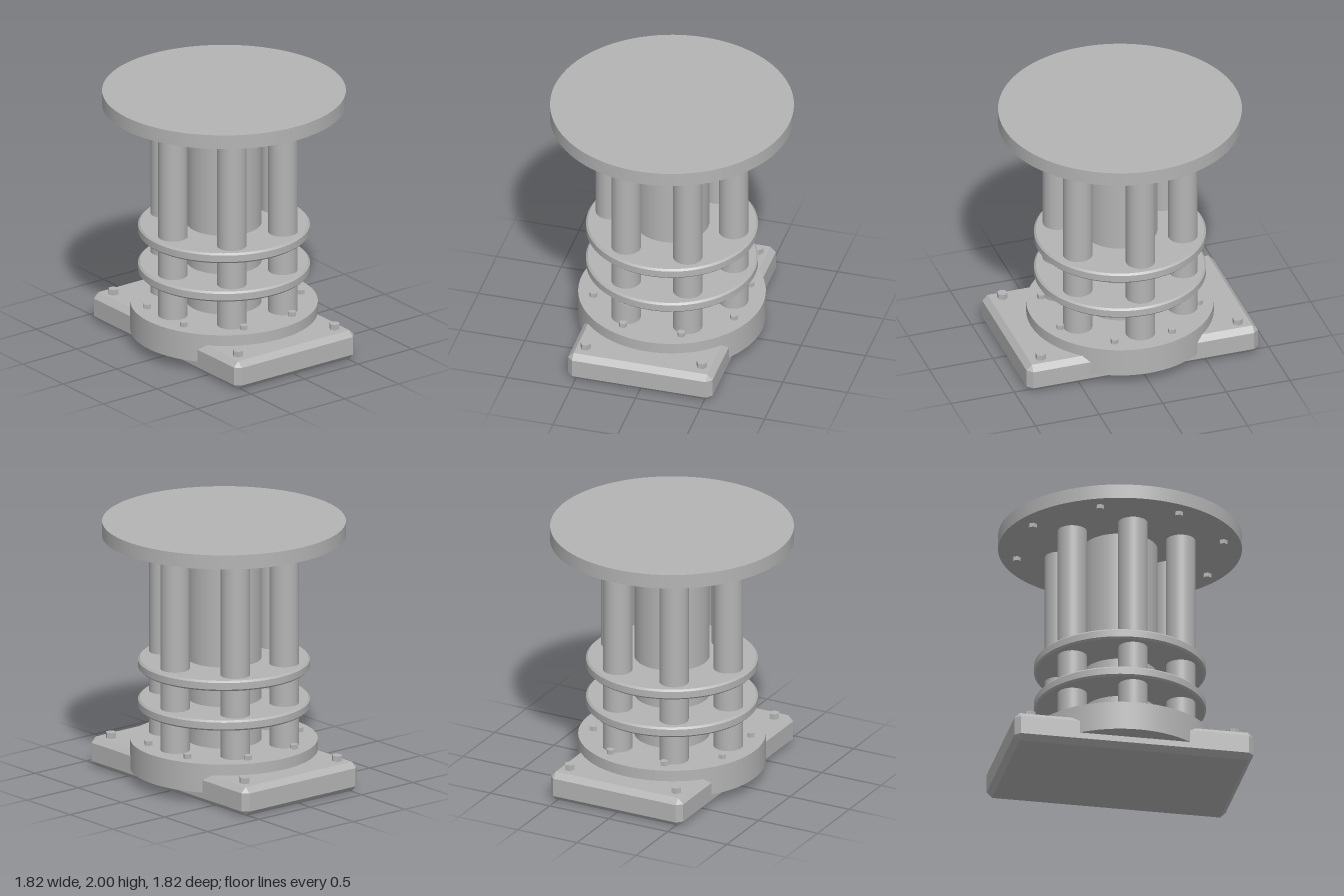
import * as THREE from 'three';
import { ConvexGeometry } from 'three/addons/geometries/ConvexGeometry.js';

const metal = new THREE.MeshStandardMaterial({ color: 0xb4b4b4 });
metal.name = 'grey metal';

function addMesh(parent, name, geometry, x = 0, y = 0, z = 0) {
  const mesh = new THREE.Mesh(geometry, metal);
  mesh.name = name;
  mesh.position.set(x, y, z);
  parent.add(mesh);
  return mesh;
}

// Upright round bar between two heights
function addCylinder(parent, name, radius, y0, y1, x = 0, z = 0, segments = 96) {
  const geometry = new THREE.CylinderGeometry(radius, radius, y1 - y0, segments);
  return addMesh(parent, name, geometry, x, (y0 + y1) / 2, z);
}

// Hexagonal bolt head with a corner pointing along x
function addBolt(parent, name, radius, y0, y1, x, z) {
  const geometry = new THREE.CylinderGeometry(radius, radius, y1 - y0, 6).toNonIndexed();
  geometry.rotateY(Math.PI / 2);
  geometry.computeVertexNormals();
  addMesh(parent, name, geometry, x, (y0 + y1) / 2, z);
}

function addBoltCircle(parent, name, circle, radius, y0, y1) {
  for (let i = 0; i < 8; i++) {
    const a = (i + 0.5) * Math.PI / 4;
    addBolt(parent, name, radius, y0, y1, circle * Math.cos(a), circle * Math.sin(a));
  }
}

// Box with every edge chamfered
function chamferedBox(hx, hy, hz, c) {
  const points = [];
  for (const sx of [-1, 1]) for (const sy of [-1, 1]) for (const sz of [-1, 1]) {
    points.push(
      new THREE.Vector3(sx * hx, sy * (hy - c), sz * (hz - c)),
      new THREE.Vector3(sx * (hx - c), sy * hy, sz * (hz - c)),
      new THREE.Vector3(sx * (hx - c), sy * (hy - c), sz * hz));
  }
  return new ConvexGeometry(points);
}

// Disc with chamfered rims
function addCollar(parent, name, radius, y0, y1, c) {
  const collar = new THREE.Group();
  collar.name = name;
  const band = new THREE.CylinderGeometry(radius, radius, y1 - y0 - 2 * c, 96, 1, true);
  addMesh(collar, 'collarBand', band, 0, (y0 + y1) / 2, 0);
  addMesh(collar, 'collarTop', new THREE.CylinderGeometry(radius - c, radius, c, 96), 0, y1 - c / 2, 0);
  addMesh(collar, 'collarBottom', new THREE.CylinderGeometry(radius, radius - c, c, 96), 0, y0 + c / 2, 0);
  parent.add(collar);
}

export function createModel() {
  const model = new THREE.Group();
  model.name = 'pillarStand';

  // Foot plate and its corner bolts
  addMesh(model, 'footPlate', chamferedBox(0.56, 0.1125, 0.91, 0.042), 0, 0.1125, 0);
  for (const sx of [-1, 1]) for (const sz of [-1, 1]) {
    addBolt(model, 'footBolt', 0.04, 0.22, 0.268, sx * 0.45, sz * 0.775);
  }

  // Round base with a ring of bolts
  addCylinder(model, 'baseDisc', 0.7, 0.088, 0.31);
  addBoltCircle(model, 'baseBolt', 0.59, 0.031, 0.305, 0.344);

  // Central column and six pillars
  addCylinder(model, 'centralColumn', 0.28, 0.3, 1.9);
  for (let i = 0; i < 6; i++) {
    const a = i * Math.PI / 3;
    addCylinder(model, 'pillar', 0.11, 0.3, 1.9, 0.477 * Math.cos(a), 0.477 * Math.sin(a), 48);
  }

  // Two collars around the pillars
  addCollar(model, 'lowerCollar', 0.642, 0.553, 0.633, 0.014);
  addCollar(model, 'upperCollar', 0.642, 0.861, 0.941, 0.014);

  // Top disc with bolts underneath
  addCylinder(model, 'topDisc', 0.91, 1.89, 2);
  addBoltCircle(model, 'topBolt', 0.785, 0.032, 1.858, 1.895);

  return model;
}
